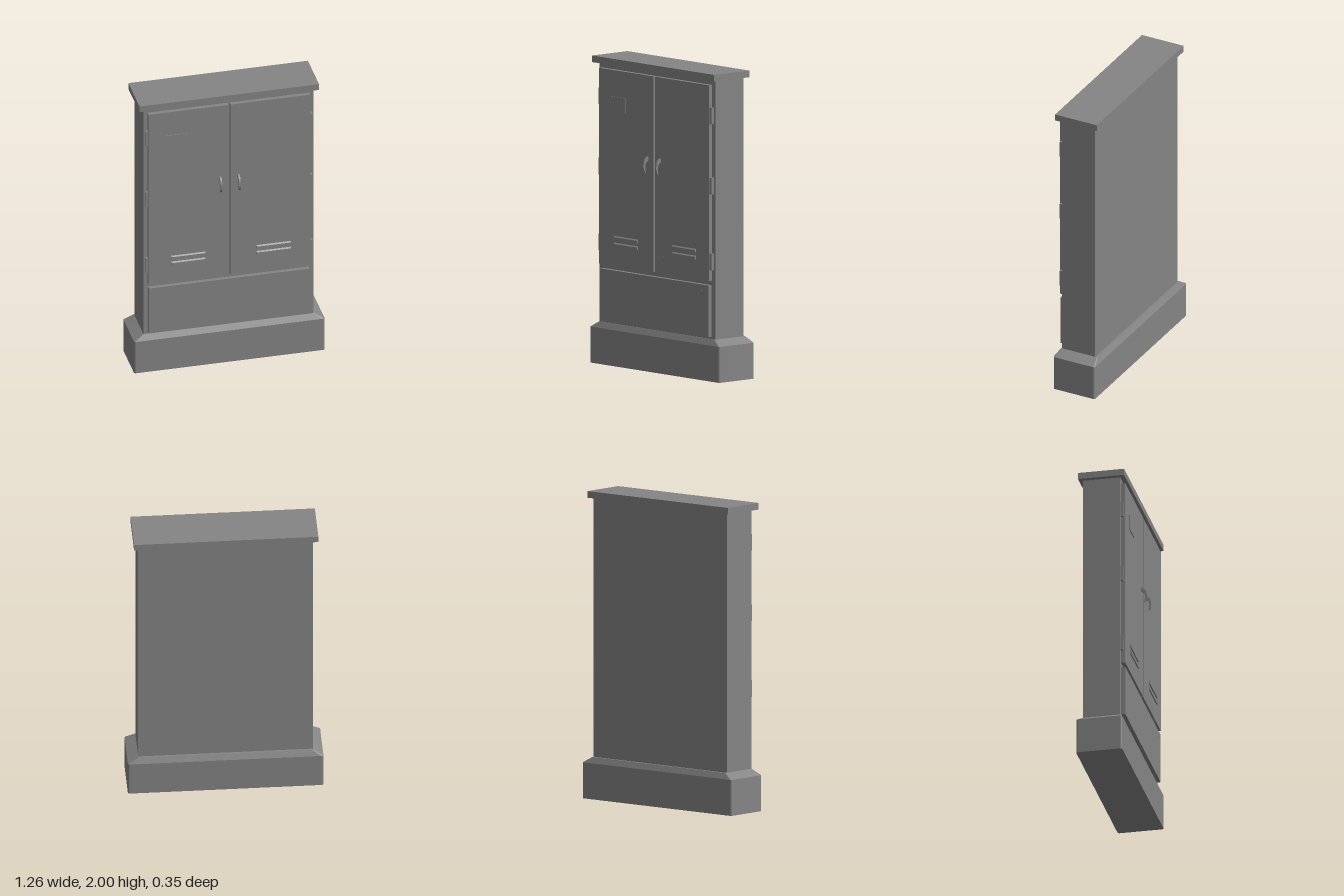
import * as THREE from 'three';
import { toCreasedNormals } from 'three/addons/utils/BufferGeometryUtils.js';

const material = new THREE.MeshStandardMaterial({ color: 0x858585, side: THREE.DoubleSide });

export function createModel() {
  const group = new THREE.Group();

  function add(name, geometry) {
    const mesh = new THREE.Mesh(geometry, material);
    mesh.name = name;
    group.add(mesh);
    return mesh;
  }

  // Box given by its limits on each axis
  function box(name, x0, x1, y0, y1, z0, z1) {
    const mesh = add(name, new THREE.BoxGeometry(x1 - x0, y1 - y0, z1 - z0));
    mesh.position.set((x0 + x1) / 2, (y0 + y1) / 2, (z0 + z1) / 2);
  }

  // Side profile drawn in (z, y), extruded along x from x0
  function sideExtrude(name, shape, x0, y0, width) {
    const geometry = new THREE.ExtrudeGeometry(shape, { depth: width, bevelEnabled: false, curveSegments: 10 });
    geometry.rotateY(-Math.PI / 2);
    const mesh = add(name, geometry);
    mesh.position.set(x0 + width, y0, 0);
  }

  // Rectangle with rounded corners, as a ring of points running x towards z
  function ring(x0, x1, z0, z1, r) {
    const corners = [[x1 - r, z1 - r], [x0 + r, z1 - r], [x0 + r, z0 + r], [x1 - r, z0 + r]];
    const points = [];
    corners.forEach(([cx, cz], c) => {
      for (let i = 0; i <= 4; i++) {
        const a = (c + i / 4) * Math.PI / 2;
        points.push([cx + r * Math.cos(a), cz + r * Math.sin(a)]);
      }
    });
    return points;
  }

  // Closed solid through stacked rings
  function loft(levels) {
    const positions = [], index = [];
    const n = levels[0].points.length;
    for (const { y, points } of levels) for (const [x, z] of points) positions.push(x, y, z);
    for (let l = 0; l < levels.length - 1; l++) {
      for (let i = 0; i < n; i++) {
        const a = l * n + i, b = l * n + (i + 1) % n;
        index.push(a, a + n, b, b, a + n, b + n);
      }
    }
    const top = (levels.length - 1) * n;
    for (let i = 1; i < n - 1; i++) {
      index.push(0, i, i + 1);
      index.push(top, top + i + 1, top + i);
    }
    const geometry = new THREE.BufferGeometry();
    geometry.setAttribute('position', new THREE.Float32BufferAttribute(positions, 3));
    geometry.setIndex(index);
    return toCreasedNormals(geometry, 0.1);
  }

  // Plinth with a sloped shoulder
  const foot = ring(-0.632, 0.631, -0.173, 0.13, 0.012);
  add('plinth', loft([
    { y: 0, points: foot },
    { y: 0.234, points: foot },
    { y: 0.272, points: ring(-0.567, 0.564, -0.155, 0.108, 0.006) },
  ]));

  // Cabinet body and roof slab
  box('body', -0.566, 0.563, 0.265, 1.96, -0.14, 0.103);
  box('roof', -0.599, 0.591, 1.957, 2, -0.167, 0.137);

  // Doors, lower cover and label plate
  const face = 0.131;
  box('rightDoor', -0.538, -0.007, 0.653, 1.926, 0.1, face);
  box('leftDoor', 0.005, 0.533, 0.653, 1.926, 0.1, face);
  box('lowerPanel', -0.535, 0.528, 0.287, 0.623, 0.1, face);
  box('labelPlate', -0.42, -0.28, 1.652, 1.754, 0.128, 0.136);

  // Three hinges on each outer door edge
  for (const y of [0.777, 1.27, 1.727]) {
    box('leftHinge', 0.53, 0.551, y - 0.054, y + 0.054, 0.1, 0.125);
    box('rightHinge', -0.556, -0.536, y - 0.04, y + 0.068, 0.1, 0.119);
  }

  // Crescent handles, fixed at the top and tapering to a free lower end
  const crescent = new THREE.Shape();
  crescent.moveTo(0.126, 0.105);
  crescent.bezierCurveTo(0.165, 0.105, 0.19, 0.04, 0.157, 0);
  crescent.lineTo(0.153, 0.003);
  crescent.bezierCurveTo(0.165, 0.045, 0.155, 0.075, 0.126, 0.083);
  crescent.closePath();
  for (const x of [-0.063, 0.059]) sideExtrude('handle', crescent, x - 0.006, 1.294, 0.012);

  // Hooded vent slats, two on each door
  const hood = new THREE.Shape();
  hood.moveTo(0.125, 0);
  hood.lineTo(0.139, 0);
  hood.lineTo(0.139, 0.016);
  hood.lineTo(0.131, 0.024);
  hood.lineTo(0.125, 0.024);
  hood.closePath();
  for (const x of [-0.388, 0.178]) {
    for (const y of [0.781, 0.825]) sideExtrude('ventSlat', hood, x, y, 0.227);
  }

  // Small screws
  for (const [x, y] of [[0.09, 1.852], [0.09, 0.762], [-0.43, 0.582], [0.46, 0.582]]) {
    const screw = add('screw', new THREE.CylinderGeometry(0.005, 0.005, 0.006, 10));
    screw.rotation.x = Math.PI / 2;
    screw.position.set(x, y, 0.13);
  }

  return group;
}
